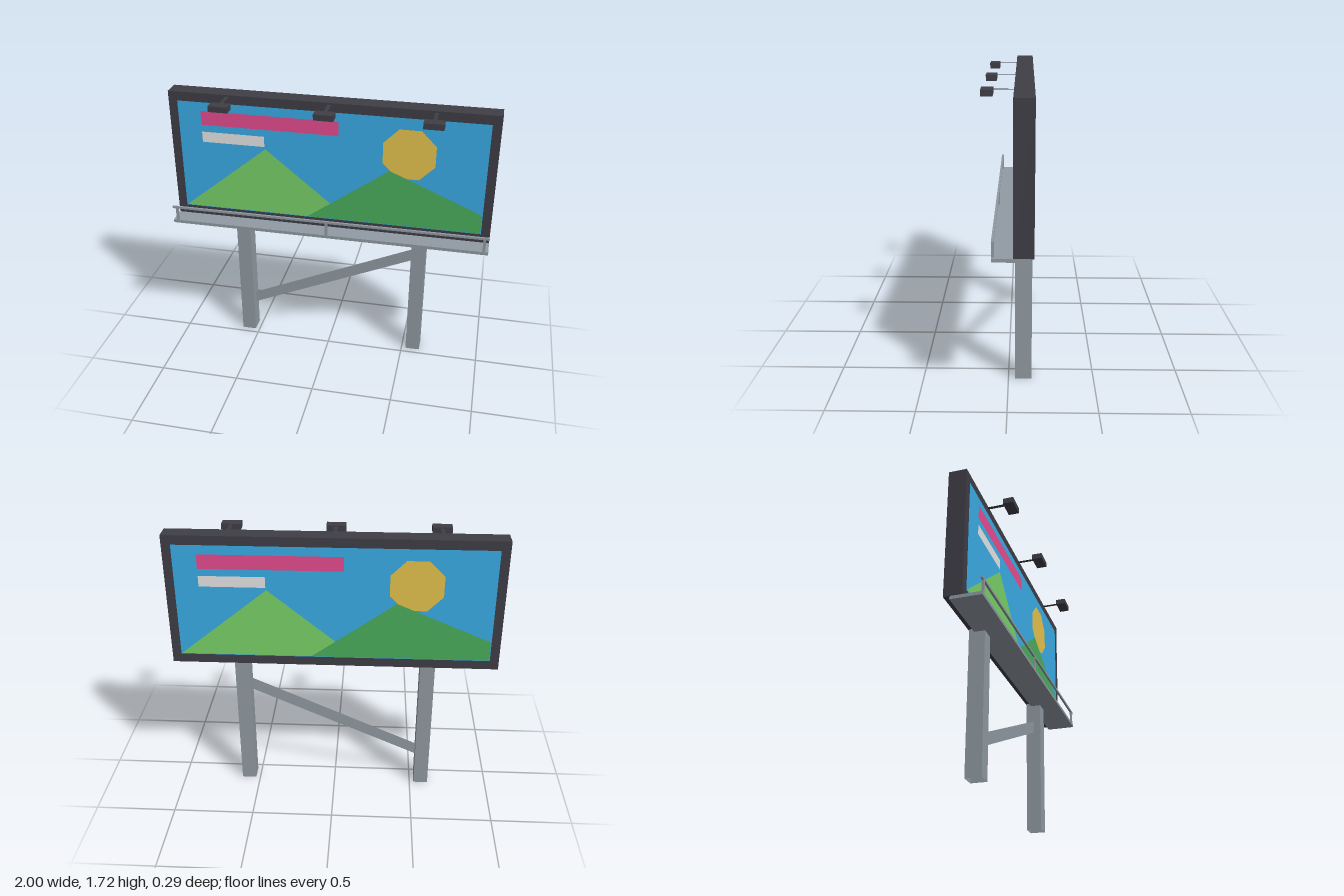
import * as THREE from 'three';

const material = (name, color, extra = {}) => {
  const m = new THREE.MeshStandardMaterial({ color, ...extra });
  m.name = name;
  return m;
};

export function createModel() {
  const model = new THREE.Group();
  model.name = 'billboard';

  const steel = material('steel grey', 0x919ba3, { side: THREE.DoubleSide, flatShading: true });
  const dark = material('charcoal', 0x3f3e46, { side: THREE.DoubleSide });
  const sky = material('sky blue', 0x3cb2ee);
  const pink = material('pink', 0xee4f95);
  const pale = material('pale grey', 0xebebeb);
  const yellow = material('sun yellow', 0xebc84f);
  const lightGreen = material('light green', 0x7ad269);
  const darkGreen = material('dark green', 0x4bae5d);

  const add = (parent, name, geometry, mat, x = 0, y = 0, z = 0) => {
    const mesh = new THREE.Mesh(geometry, mat);
    mesh.name = name;
    mesh.position.set(x, y, z);
    parent.add(mesh);
    return mesh;
  };
  // Box given by its limits along each axis
  const box = (parent, name, mat, [x0, x1], [y0, y1], [z0, z1]) =>
    add(parent, name, new THREE.BoxGeometry(x1 - x0, y1 - y0, z1 - z0), mat,
      (x0 + x1) / 2, (y0 + y1) / 2, (z0 + z1) / 2);
  // Flat polygon in the xy plane
  const flat = (points) =>
    new THREE.ShapeGeometry(new THREE.Shape(points.map(([x, y]) => new THREE.Vector2(x, y))));
  const rect = (x0, x1, y0, y1) => [[x0, y0], [x1, y0], [x1, y1], [x0, y1]];

  const midZ = -0.087; // centre plane of the board and its posts
  const half = 0.055;

  // Board
  box(model, 'boardFrame', dark, [-1, 1], [0.888, 1.717], [midZ - half, midZ + half]);

  // The same painted scene on both faces
  const octagon = Array.from({ length: 8 }, (_, i) => {
    const a = (i + 0.5) * Math.PI / 4;
    return [0.483 + 0.171 * Math.cos(a), 1.43 + 0.171 * Math.sin(a)];
  });
  const art = [
    ['skyPanel', sky, rect(-0.945, 0.945, 0.945, 1.66)],
    ['sun', yellow, octagon],
    ['leftHill', lightGreen, [[-0.94, 0.95], [0.135, 0.95], [-0.4, 1.387]]],
    ['rightHill', darkGreen, [[-0.14, 0.95], [0.94, 0.95], [0.94, 1.075], [0.37, 1.317]]],
    ['wideStripe', pink, rect(-0.8, 0.055, 1.515, 1.605)],
    ['shortStripe', pale, rect(-0.8, -0.405, 1.402, 1.47)],
  ];
  for (const side of ['front', 'back']) {
    const picture = new THREE.Group();
    picture.name = side + 'Picture';
    picture.position.z = midZ;
    if (side === 'back') picture.rotation.y = Math.PI;
    art.forEach(([name, mat, points], i) =>
      add(picture, name, flat(points), mat, 0, 0, half + 0.001 + Math.min(i, 3) * 0.001));
    model.add(picture);
  }

  // Hollow square posts
  for (const s of [-1, 1]) {
    const tube = new THREE.CylinderGeometry(Math.SQRT1_2, Math.SQRT1_2, 1, 4, 1, true)
      .rotateY(Math.PI / 4).scale(0.091, 0.888, 0.097);
    add(model, s > 0 ? 'leftPost' : 'rightPost', tube, steel, s * 0.573, 0.444, midZ);
  }

  // Flat diagonal brace between the posts
  add(model, 'brace', flat([[-0.528, 0.2], [0.528, 0.67], [0.528, 0.752], [-0.528, 0.28]]),
    steel, 0, 0, midZ);

  // Walkway and handrail
  box(model, 'walkway', steel, [-1, 1], [0.868, 0.888], [-0.105, 0.082]);
  box(model, 'handrail', steel, [-1, 1], [0.97, 0.984], [0.068, 0.081]);
  for (const x of [-0.972, 0, 0.972])
    box(model, 'railPost', steel, [x - 0.008, x + 0.008], [0.888, 0.972], [0.067, 0.081]);

  // Lamps on flat arms
  for (const x of [-0.627, 0, 0.627]) {
    box(model, 'lamp', dark, [x - 0.059, x + 0.059], [1.674, 1.71], [0.081, 0.146]);
    add(model, 'lampArm', new THREE.PlaneGeometry(0.022, 0.13).rotateX(-Math.PI / 2),
      dark, x, 1.706, 0.03);
  }

  return model;
}
